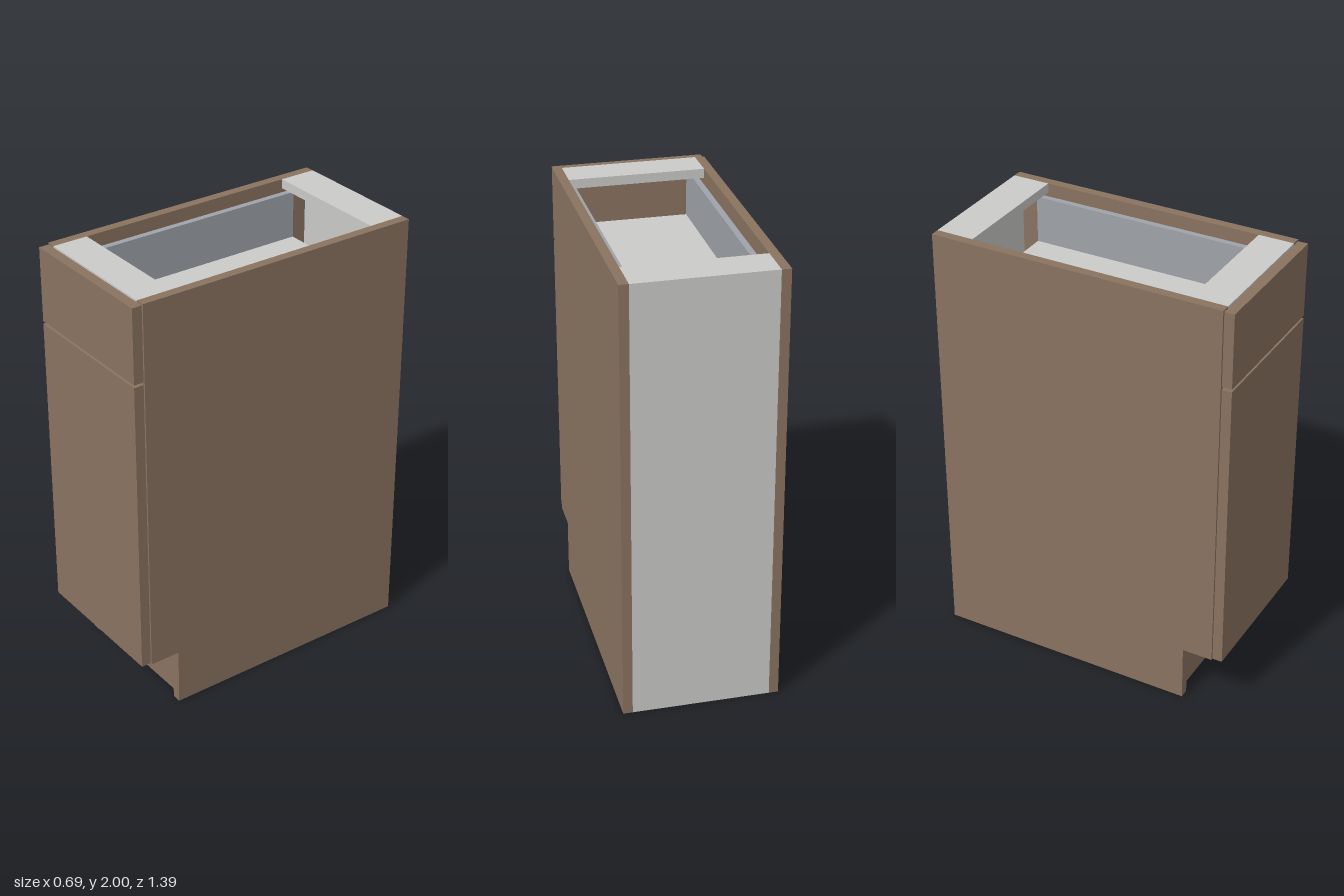
import * as THREE from 'three';

const wood = new THREE.MeshStandardMaterial({ name: 'brown wood', color: 0x8a7360 });
const board = new THREE.MeshStandardMaterial({ name: 'pale grey board', color: 0xcbcbc9 });
const metal = new THREE.MeshStandardMaterial({ name: 'blue grey metal', color: 0x9fa3a9 });

// Box given by its lower and upper limits on each axis
function panel(name, material, [x0, x1], [y0, y1], [z0, z1]) {
  const mesh = new THREE.Mesh(new THREE.BoxGeometry(x1 - x0, y1 - y0, z1 - z0), material);
  mesh.position.set((x0 + x1) / 2, (y0 + y1) / 2, (z0 + z1) / 2);
  mesh.name = name;
  return mesh;
}

export function createModel() {
  const cabinet = new THREE.Group();
  cabinet.name = 'baseCabinet';

  const outer = 0.347, inner = 0.305;      // half widths of the carcass
  const back = -0.697, front = 0.65;       // carcass depth
  const base = 0.265;                      // plinth height
  const across = [-inner, inner];

  // Side panels, plinth sides and drawer sides, mirrored
  for (const [side, s] of [['left', 1], ['right', -1]]) {
    const span = (a, b) => (s > 0 ? [a, b] : [-b, -a]);
    cabinet.add(
      panel(side + 'SidePanel', wood, span(inner, outer), [base, 2], [back, front]),
      panel(side + 'PlinthSide', wood, span(inner, outer), [0, base], [back, 0.51]),
      panel(side + 'DrawerSide', metal, span(0.265, 0.293), [1.71, 1.945], [-0.56, front]),
    );
  }

  // Carcass boards between the sides
  cabinet.add(
    panel('backPanel', board, across, [0, 2], [back, back + 0.04]),
    panel('floorPanel', board, across, [base, base + 0.042], [back + 0.04, front]),
    panel('backStretcher', board, across, [1.958, 2], [back + 0.04, -0.525]),
    panel('frontStretcher', board, across, [1.958, 2], [0.49, front]),
    panel('toeKick', wood, across, [0, base], [0.44, 0.48]),
  );

  // Drawer floor, drawer front and door
  cabinet.add(
    panel('drawerFloor', board, [-0.265, 0.265], [1.71, 1.73], [-0.56, front]),
    panel('drawerFront', wood, [-0.342, 0.342], [1.655, 1.994], [front + 0.002, 0.697]),
    panel('door', wood, [-0.342, 0.342], [0.27, 1.643], [front + 0.002, 0.697]),
  );

  return cabinet;
}
